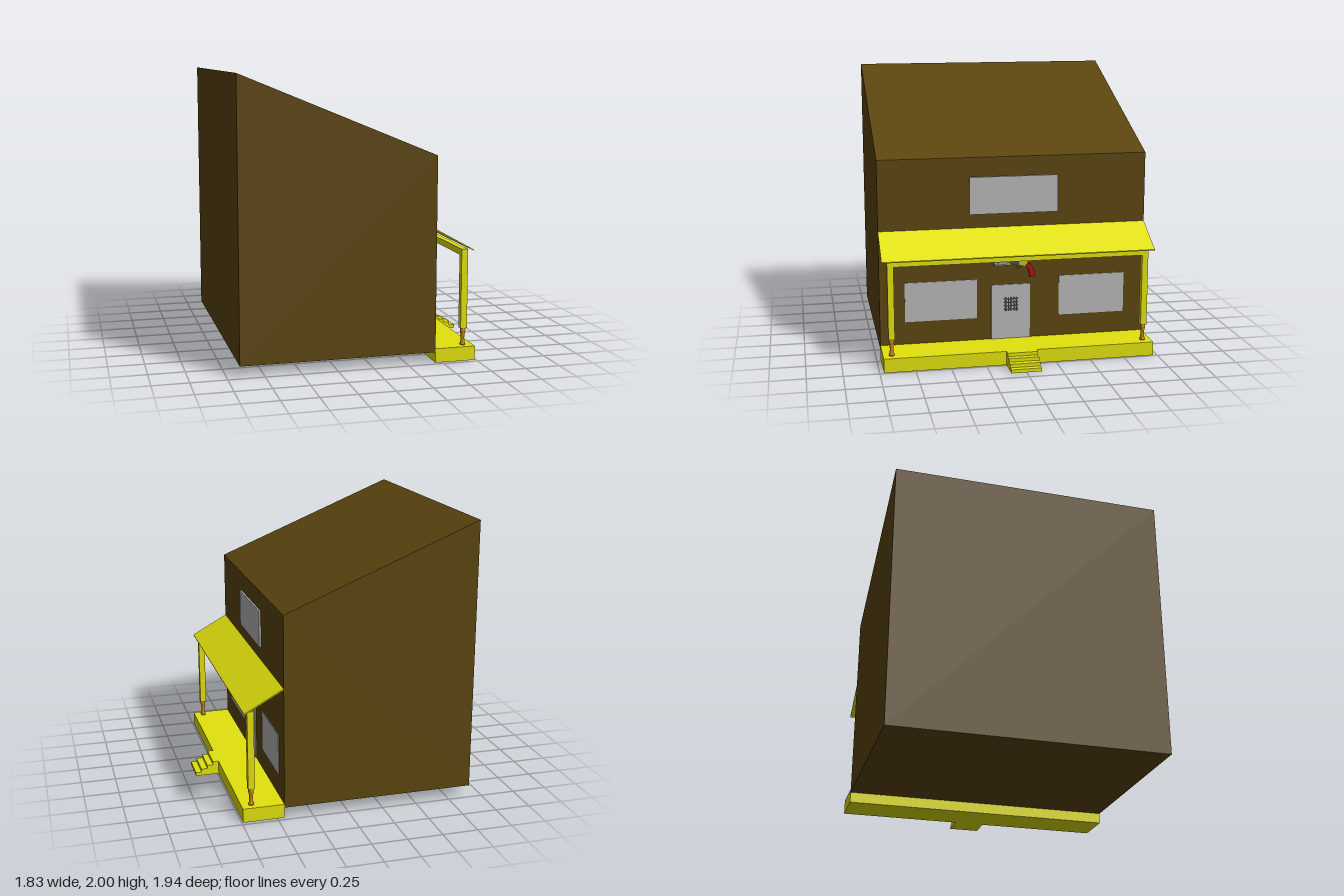
import * as THREE from 'three';

const mat = (color) => new THREE.MeshStandardMaterial({ color });
const brown = mat(0x5c460f), yellow = mat(0xe2e20e), orange = mat(0xc98612),
  grey = mat(0xb8b8b8), steel = mat(0x8c8c88), red = mat(0xb01016), brass = mat(0xc8bc30);

export function createModel() {
  const model = new THREE.Group();

  const add = (name, geometry, material, parent = model) => {
    const mesh = new THREE.Mesh(geometry, material);
    mesh.name = name;
    parent.add(mesh);
    return mesh;
  };
  // Box given by its limits on each axis
  const block = (name, material, [x0, x1], [y0, y1], [z0, z1], parent) => {
    const mesh = add(name, new THREE.BoxGeometry(x1 - x0, y1 - y0, z1 - z0), material, parent);
    mesh.position.set((x0 + x1) / 2, (y0 + y1) / 2, (z0 + z1) / 2);
    return mesh;
  };
  const outline = (points) => new THREE.Shape(points.map(([x, y]) => new THREE.Vector2(x, y)));
  // Side profile (x, y) swept across the width, centred on z = 0
  const sweep = (name, material, points, half) => {
    const geometry = new THREE.ExtrudeGeometry(outline(points), { depth: half * 2, bevelEnabled: false });
    geometry.translate(0, 0, -half);
    return add(name, geometry, material);
  };

  // House with a single-pitch roof
  sweep('house', brown, [[-0.915, 0.075], [0.45, 0.075], [0.45, 1.44], [-0.915, 2]], 0.97);

  // Porch deck, steps and sloping awning
  block('porchDeck', yellow, [0.45, 0.74], [0, 0.1], [-0.97, 0.97]);
  sweep('porchSteps', yellow, [[0.74, 0], [0.912, 0], [0.912, 0.025], [0.87, 0.025], [0.87, 0.05],
    [0.825, 0.05], [0.825, 0.075], [0.782, 0.075], [0.782, 0.1], [0.74, 0.1]], 0.108);
  sweep('awning', yellow, [[0.45, 0.925], [0.72, 0.775], [0.722, 0.783], [0.45, 0.934]], 0.97);
  block('awningBeam', yellow, [0.647, 0.693], [0.737, 0.782], [-0.932, 0.932]);

  // Posts on turned feet
  const footProfile = [[0, 0.1], [0.019, 0.1], [0.019, 0.108], [0.015, 0.122], [0.012, 0.145],
    [0.014, 0.17], [0.019, 0.195], [0.019, 0.21], [0.015, 0.222], [0, 0.222]]
    .map(([r, y]) => new THREE.Vector2(r, y));
  for (const side of [-1, 1]) {
    const z = side * 0.909;
    block('porchPost', yellow, [0.647, 0.693], [0.22, 0.737], [z - 0.022, z + 0.022]);
    add('postFoot', new THREE.LatheGeometry(footProfile, 20), orange).position.set(0.67, 0, z);
  }

  // Windows and door
  block('upperWindow', grey, [0.445, 0.463], [1.032, 1.3], [-0.32, 0.32]);
  block('leftWindow', grey, [0.445, 0.455], [0.265, 0.553], [0.27, 0.79]);
  block('rightWindow', grey, [0.445, 0.455], [0.256, 0.552], [-0.825, -0.335]);
  block('door', grey, [0.445, 0.457], [0.1, 0.505], [-0.12, 0.165]);

  // Barred peephole in the door
  const grille = new THREE.Group();
  grille.name = 'doorGrille';
  model.add(grille);
  const rod = (length) => new THREE.CylinderGeometry(0.004, 0.004, length, 8);
  for (let i = 0; i < 4; i++) {
    const y = 0.323 + i * 0.026;
    const bar = add('crossBar', rod(0.1), steel, grille);
    bar.rotation.x = Math.PI / 2;
    bar.position.set(0.472, y, 0.022);
    for (const z of [-0.026, 0.07]) {
      const stub = add('barMount', rod(0.02), steel, grille);
      stub.rotation.z = Math.PI / 2;
      stub.position.set(0.464, y, z);
    }
  }
  for (let i = 0; i < 5; i++) {
    add('uprightBar', rod(0.1), steel, grille).position.set(0.472, 0.362, -0.018 + i * 0.02);
  }

  // Revolver sign above the door, muzzle towards +z
  const sign = new THREE.Group();
  sign.name = 'revolverSign';
  sign.position.x = 0.472;
  model.add(sign);
  const tube = (name, material, radius, length, y, z, sides = 16) => {
    const mesh = add(name, new THREE.CylinderGeometry(radius, radius, length, sides), material, sign);
    mesh.rotation.x = Math.PI / 2;
    mesh.position.set(0, y, z);
  };
  // Flat piece drawn with -z to the right, centred on the gun's thickness
  const plate = (name, material, shape, thickness) => {
    const geometry = new THREE.ExtrudeGeometry(shape, { depth: thickness, bevelEnabled: false, curveSegments: 8 });
    geometry.translate(0, 0, -thickness / 2);
    add(name, geometry, material, sign).rotation.y = Math.PI / 2;
  };
  tube('barrel', steel, 0.013, 0.16, 0.698, 0.07);
  tube('ejectorRod', steel, 0.008, 0.13, 0.668, 0.085);
  block('barrelRib', steel, [-0.006, 0.006], [0.652, 0.712], [0.03, 0.15], sign);
  block('frontSight', brass, [-0.003, 0.003], [0.708, 0.728], [0.115, 0.148], sign);
  tube('cylinder', steel, 0.026, 0.06, 0.682, 0.0, 12);
  for (let i = 0; i < 6; i++) {
    const a = i * Math.PI / 3;
    const flute = add('cylinderRidge', new THREE.CylinderGeometry(0.006, 0.006, 0.05, 8), steel, sign);
    flute.rotation.x = Math.PI / 2;
    flute.position.set(Math.cos(a) * 0.023, 0.682 + Math.sin(a) * 0.023, 0);
  }
  plate('frame', brass, outline([[-0.035, 0.652], [0.04, 0.652], [0.08, 0.64], [0.105, 0.665],
    [0.085, 0.69], [0.055, 0.712], [-0.035, 0.716]]), 0.018);
  plate('hammer', steel, outline([[0.05, 0.7], [0.07, 0.695], [0.085, 0.72], [0.073, 0.722]]), 0.008);
  const guard = add('triggerGuard', new THREE.TorusGeometry(0.022, 0.003, 6, 16, Math.PI), brass, sign);
  guard.rotation.set(Math.PI, Math.PI / 2, 0);
  guard.position.set(0, 0.65, -0.035);
  block('trigger', steel, [-0.003, 0.003], [0.632, 0.655], [-0.04, -0.034], sign);

  // Curved grip
  const grip = new THREE.Shape();
  grip.moveTo(0.08, 0.645);
  grip.lineTo(0.1, 0.668);
  grip.quadraticCurveTo(0.15, 0.645, 0.149, 0.565);
  grip.lineTo(0.113, 0.562);
  grip.quadraticCurveTo(0.112, 0.62, 0.08, 0.645);
  plate('grip', red, grip, 0.026);

  return model;
}
